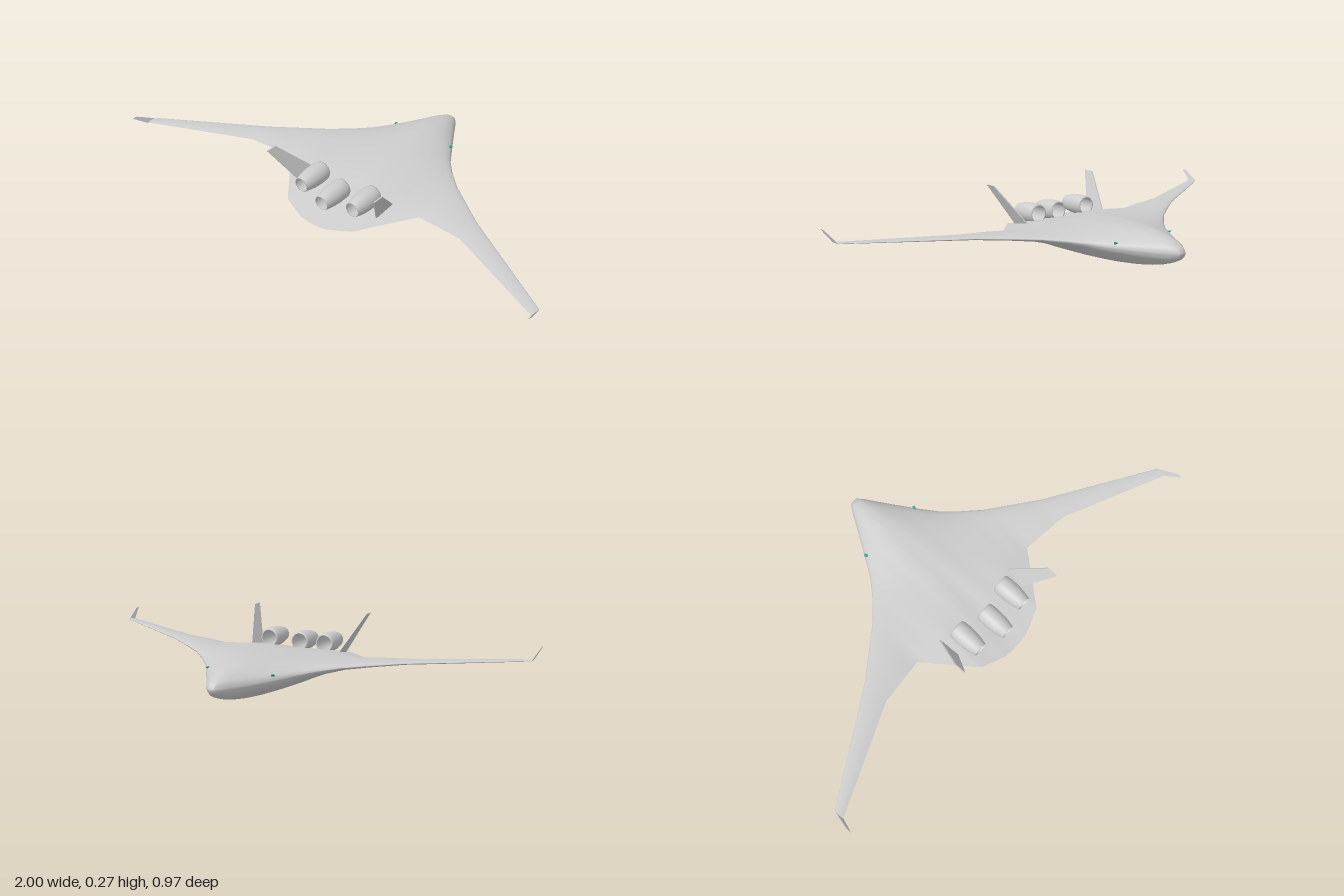
import * as THREE from 'three';

const grey = new THREE.MeshStandardMaterial({ color: 0xcccccc });
const greyOpen = new THREE.MeshStandardMaterial({ color: 0xcccccc, side: THREE.DoubleSide });
const amber = new THREE.MeshStandardMaterial({ color: 0xc9a000 });
const teal = new THREE.MeshStandardMaterial({ color: 0x3fa58c });

// Half-span stations: x, leading z, trailing z, leading y, trailing y, half thickness
const STATIONS = [
  [0, -0.487, 0.446, 0.09, 0.062, 0.078],
  [0.015, -0.484, 0.446, 0.09, 0.062, 0.078],
  [0.035, -0.46, 0.446, 0.09, 0.063, 0.077],
  [0.065, -0.41, 0.443, 0.09, 0.066, 0.073],
  [0.11, -0.336, 0.426, 0.092, 0.072, 0.063],
  [0.17, -0.24, 0.404, 0.098, 0.083, 0.049],
  [0.205, -0.185, 0.362, 0.104, 0.09, 0.04],
  [0.26, -0.12, 0.296, 0.112, 0.1, 0.027],
  [0.335, -0.045, 0.205, 0.119, 0.112, 0.016],
  [0.42, 0.02, 0.214, 0.123, 0.119, 0.012],
  [0.54, 0.11, 0.227, 0.127, 0.124, 0.008],
  [0.98, 0.377, 0.422, 0.131, 0.13, 0.003],
];

// Thickness along the chord, from leading edge to trailing edge
const CHORD = new THREE.SplineCurve([
  [0, 0], [0.008, 0.2], [0.03, 0.4], [0.09, 0.66], [0.2, 0.9], [0.34, 1], [0.5, 0.98],
  [0.63, 0.89], [0.74, 0.7], [0.85, 0.42], [1, 0],
].map(([u, f]) => new THREE.Vector2(u, f))).getPoints(30);

// Blended body and wing lofted across the span
function bodyGeometry() {
  const half = [];
  for (let i = 0; i < STATIONS.length - 1; i++) {
    for (let k = 0; k < 3; k++) {
      half.push(STATIONS[i].map((v, c) => THREE.MathUtils.lerp(v, STATIONS[i + 1][c], k / 3)));
    }
  }
  half.push(STATIONS[STATIONS.length - 1]);
  const left = half.slice(1).reverse().map(([x, ...rest]) => [-x, ...rest]);
  const sections = [...left, ...half];

  const loop = [
    ...[...CHORD].reverse().map((p) => [p.x, p.y]),
    ...CHORD.slice(1).map((p) => [p.x, -p.y]),
  ];
  const n = loop.length;
  const positions = [];
  const index = [];
  sections.forEach(([x, z0, z1, y0, y1, h], i) => {
    for (const [u, f] of loop) {
      positions.push(x, y0 + (y1 - y0) * u + h * f, z0 + (z1 - z0) * u);
    }
    if (i === sections.length - 1) return;
    for (let j = 0; j < n - 1; j++) {
      const a = i * n + j;
      const b = a + n;
      index.push(a, b, a + 1, b, b + 1, a + 1);
    }
  });
  const g = new THREE.BufferGeometry();
  g.setAttribute('position', new THREE.Float32BufferAttribute(positions, 3));
  g.setIndex(index);
  g.computeVertexNormals();
  return g;
}

// Thin swept plate; root and tip are { x, y, front, back }
function sweptPlate(root, tip, thickness, side) {
  const g = new THREE.BoxGeometry(1, 1, 1);
  const p = g.attributes.position;
  const { lerp } = THREE.MathUtils;
  for (let i = 0; i < p.count; i++) {
    const t = p.getY(i) + 0.5;
    const c = p.getZ(i) + 0.5;
    p.setXYZ(i,
      side * lerp(root.x, tip.x, t) + p.getX(i) * thickness,
      lerp(root.y, tip.y, t),
      lerp(lerp(root.front, root.back, c), lerp(tip.front, tip.back, c), t));
  }
  g.computeVertexNormals();
  return g;
}

// Open nacelle: outer skin from intake lip to nozzle, then back along the duct
function nacelleGeometry() {
  const profile = [
    [0.034, 0], [0.038, -0.001], [0.041, 0.006], [0.043, 0.025], [0.043, 0.05], [0.041, 0.08],
    [0.037, 0.105], [0.031, 0.13], [0.029, 0.13], [0.034, 0.09], [0.036, 0.04], [0.034, 0],
  ].map(([r, z]) => new THREE.Vector2(r, z));
  return new THREE.LatheGeometry(profile, 32).rotateX(Math.PI / 2);
}

export function createModel() {
  const model = new THREE.Group();
  const add = (name, geometry, material, x = 0, y = 0, z = 0) => {
    const mesh = new THREE.Mesh(geometry, material);
    mesh.name = name;
    mesh.position.set(x, y, z);
    model.add(mesh);
    return mesh;
  };

  add('blendedWingBody', bodyGeometry(), grey);

  // Three engines on the rear deck
  const nacelle = nacelleGeometry();
  add('centreEngine', nacelle, greyOpen, 0, 0.138, 0.262).rotation.x = 0.05;
  for (const s of [-1, 1]) {
    const side = s > 0 ? 'left' : 'right';
    add(side + 'Engine', nacelle, greyOpen, s * 0.132, 0.147, 0.232).rotation.x = 0.03;

    // Canted tail fins and wingtip winglets
    add(side + 'TailFin', sweptPlate(
      { x: 0.2, y: 0.1, front: 0.19, back: 0.3 },
      { x: 0.272, y: 0.267, front: 0.353, back: 0.4 }, 0.006, s), grey);
    add(side + 'Winglet', sweptPlate(
      { x: 0.98, y: 0.129, front: 0.377, back: 0.424 },
      { x: 0.998, y: 0.173, front: 0.464, back: 0.485 }, 0.003, s), grey);

    // Small belly fairings and cockpit side windows
    const fairing = add(side + 'BellyFairing', new THREE.SphereGeometry(1, 16, 10), amber,
      s * 0.135, 0.039, 0.217);
    fairing.scale.set(0.016, 0.005, 0.016);
    const pane = new THREE.Shape([[-0.008, 0.005], [0.009, 0.005], [0.009, -0.006], [0.003, -0.006]]
      .map(([a, b]) => new THREE.Vector2(a, b)));
    const windowGeometry = new THREE.ExtrudeGeometry(pane, { depth: 0.012, bevelEnabled: false })
      .translate(0, 0, -0.006).rotateY(-Math.PI / 2);
    add(side + 'CockpitWindow', windowGeometry, teal, s * 0.146, 0.114, -0.265).rotation.y = -s * 0.55;
  }
  return model;
}
